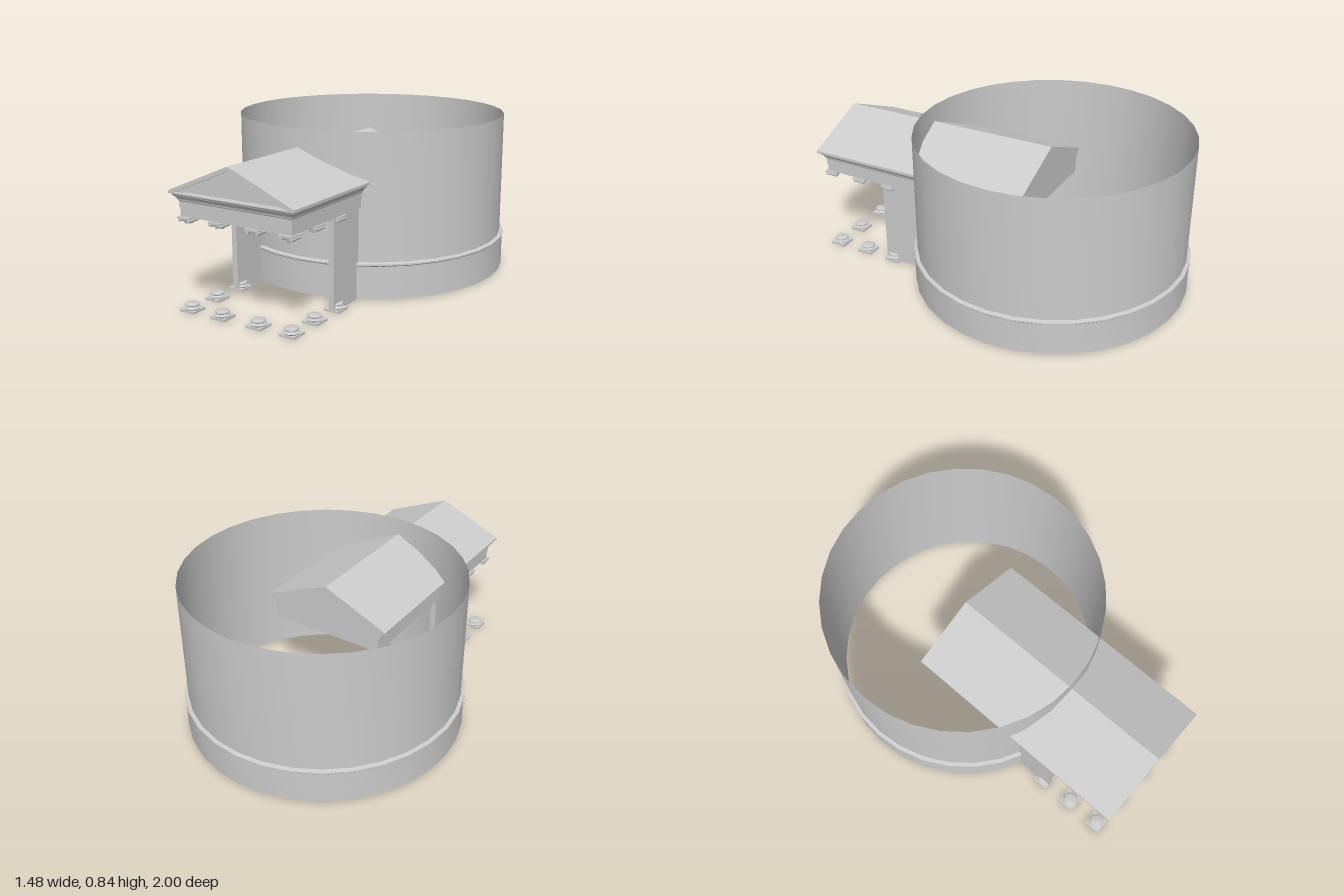
import * as THREE from 'three';
import { toCreasedNormals } from 'three/addons/utils/BufferGeometryUtils.js';

const grey = new THREE.MeshStandardMaterial({ color: 0xcccccc });
const greyThin = new THREE.MeshStandardMaterial({ color: 0xcccccc, side: THREE.DoubleSide });

function add(parent, name, geometry, x = 0, y = 0, z = 0, material = grey) {
  const mesh = new THREE.Mesh(geometry, material);
  mesh.name = name;
  mesh.position.set(x, y, z);
  parent.add(mesh);
  return mesh;
}

const lathe = (points, sides, crease = 0.6) =>
  toCreasedNormals(new THREE.LatheGeometry(points.map(([r, y]) => new THREE.Vector2(r, y)), sides), crease);

const polygon = (points) => points.map(([x, y]) => new THREE.Vector2(x, y));

function extrude(points, hole, z0, z1) {
  const shape = new THREE.Shape(polygon(points));
  if (hole) shape.holes.push(new THREE.Path(polygon(hole)));
  return new THREE.ExtrudeGeometry(shape, { depth: z1 - z0, bevelEnabled: false }).translate(0, 0, z0);
}

// Rectangular moulding: each [y, out] section is a ring, flaring at the sides and front
function moulding(sections, halfWidth, back, front) {
  const pos = [], index = [];
  for (const [y, out] of sections) {
    const x = halfWidth + out, z = front + out;
    pos.push(-x, y, back, -x, y, z, x, y, z, x, y, back);
  }
  for (let s = 0; s < sections.length - 1; s++) {
    for (let i = 0; i < 4; i++) {
      const a = s * 4 + i, b = s * 4 + (i + 1) % 4;
      index.push(a, b, b + 4, a, b + 4, a + 4);
    }
  }
  const t = (sections.length - 1) * 4;
  index.push(0, 2, 1, 0, 3, 2, t, t + 1, t + 2, t, t + 2, t + 3);
  const geo = new THREE.BufferGeometry();
  geo.setAttribute('position', new THREE.Float32BufferAttribute(pos, 3));
  geo.setIndex(index);
  const flat = geo.toNonIndexed();
  flat.computeVertexNormals();
  return flat;
}

function createDrum() {
  const drum = new THREE.Group();
  drum.name = 'drum';
  drum.position.z = -0.26;
  // Open shell and the wider band around its foot
  add(drum, 'drumWall', lathe([[0.72, 0.005], [0.72, 0.84]], 32), 0, 0, 0, greyThin);
  add(drum, 'drumBaseBand',
    lathe([[0.735, 0.005], [0.735, 0.174], [0.74, 0.179], [0.74, 0.187], [0.72, 0.192]], 32),
    0, 0, 0, greyThin);
  return drum;
}

function createRoof() {
  const roof = new THREE.Group();
  roof.name = 'roof';
  const gable = [[-0.355, 0.584], [0.355, 0.584], [0.355, 0.597], [0, 0.747], [-0.355, 0.597]];
  const outerOpening = [[-0.325, 0.588], [0, 0.727], [0.325, 0.588]];
  const innerOpening = [[-0.285, 0.588], [0, 0.71], [0.285, 0.588]];
  add(roof, 'gableRoof', extrude(gable, null, -0.245, 0.96));
  // Stepped frame around the recessed tympanum
  add(roof, 'pedimentInnerFrame', extrude(outerOpening, innerOpening, 0.96, 0.98));
  add(roof, 'pedimentOuterFrame', extrude(gable, outerOpening, 0.96, 1));
  return roof;
}

function createPortico() {
  const portico = new THREE.Group();
  portico.name = 'portico';

  add(portico, 'entablature', moulding([
    [0.47, -0.003], [0.512, -0.003], [0.512, 0], [0.543, 0], [0.547, 0.004],
    [0.555, 0.006], [0.565, 0.012], [0.572, 0.021], [0.578, 0.023], [0.586, 0.03],
  ], 0.32, -0.245, 0.967));
  portico.add(createRoof());

  // Side walls linking portico and drum
  for (const side of [-1, 1]) {
    add(portico, 'sideWall', new THREE.BoxGeometry(0.03, 0.468, 0.24), side * 0.29, 0.236, 0.49);
  }

  // Column bases and capitals, four across the front and two more along each side
  const plinth = new THREE.BoxGeometry(0.085, 0.012, 0.085);
  const baseRings = lathe([
    [0, 0.012], [0.037, 0.012], [0.041, 0.017], [0.037, 0.022], [0.031, 0.025],
    [0.031, 0.029], [0.035, 0.032], [0.034, 0.037], [0.028, 0.04], [0, 0.04],
  ], 16);
  const abacus = new THREE.BoxGeometry(0.076, 0.008, 0.076);
  const echinus = lathe([
    [0, 0.438], [0.021, 0.438], [0.024, 0.442], [0.022, 0.446], [0.031, 0.452], [0.034, 0.463], [0, 0.463],
  ], 16);
  const volute = new THREE.CylinderGeometry(0.009, 0.009, 0.066, 12).rotateX(Math.PI / 2);
  const spots = [-0.29, -0.105, 0.105, 0.29].map((x) => [x, 0.94]);
  for (const z of [0.755, 0.57]) spots.push([-0.29, z], [0.29, z]);
  for (const [x, z] of spots) {
    const base = new THREE.Group();
    base.name = 'columnBase';
    base.position.set(x, 0, z);
    add(base, 'plinth', plinth, 0, 0.006, 0);
    add(base, 'baseRings', baseRings);
    const capital = new THREE.Group();
    capital.name = 'columnCapital';
    capital.position.set(x, 0, z);
    add(capital, 'abacus', abacus, 0, 0.466, 0);
    add(capital, 'echinus', echinus);
    for (const side of [-1, 1]) add(capital, 'volute', volute, side * 0.029, 0.454, 0);
    portico.add(base, capital);
  }
  return portico;
}

export function createModel() {
  const model = new THREE.Group();
  model.name = 'rotundaWithPortico';
  model.add(createDrum(), createPortico());
  return model;
}
